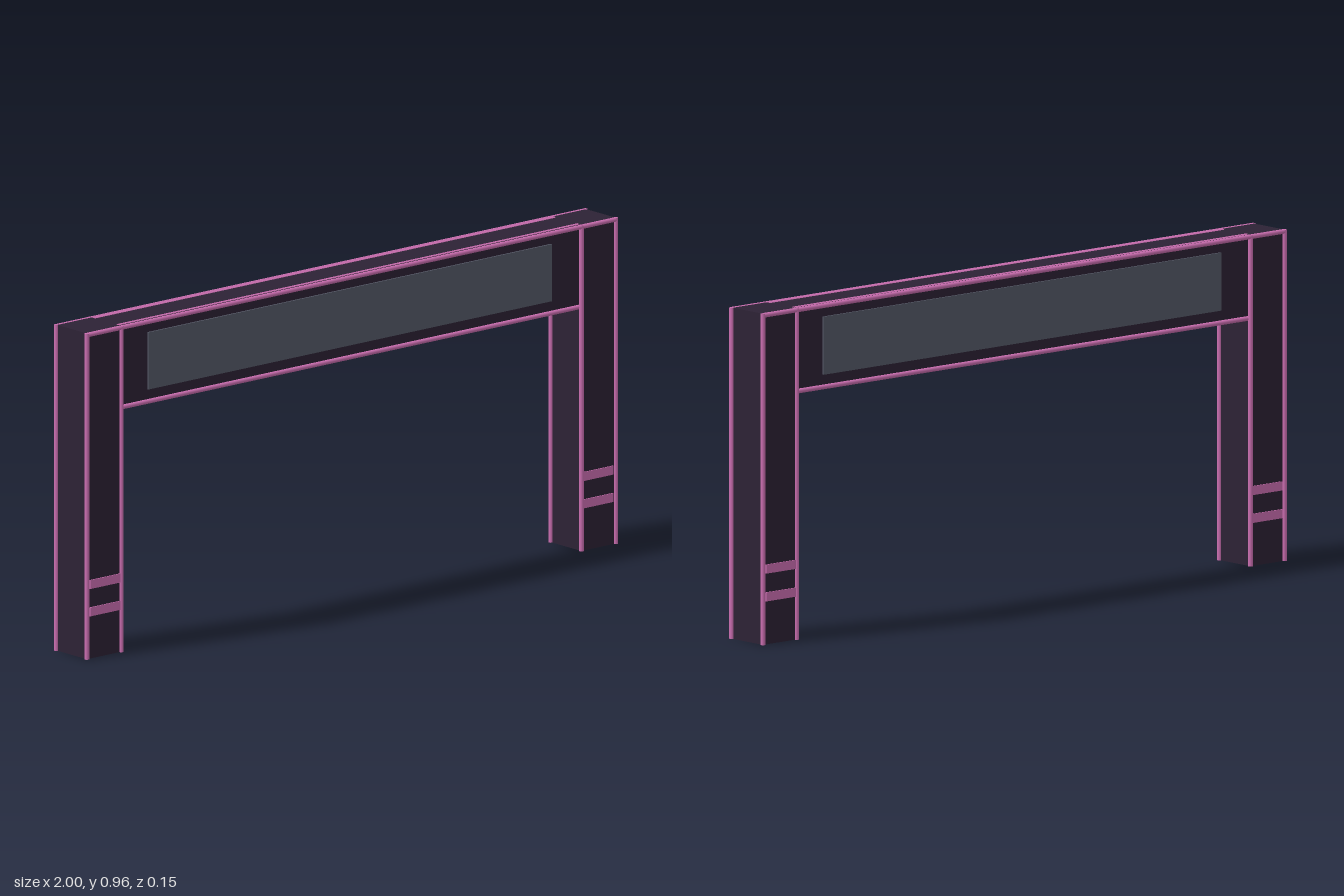
import * as THREE from 'three';

export function createModel() {
  const model = new THREE.Group();
  model.name = 'gateArch';

  const body = new THREE.MeshStandardMaterial({ color: 0x2d2235, side: THREE.DoubleSide });
  body.name = 'dark plum';
  const pink = new THREE.MeshStandardMaterial({ color: 0xcf70b4 });
  pink.name = 'pink trim';
  const glass = new THREE.MeshStandardMaterial({ color: 0x565a69 });
  glass.name = 'grey panel';

  const H = 0.953, INNER = 0.864, OUTER = 0.993, DEPTH = 0.066;
  const BEAM_BOTTOM = 0.712, BEAM_DEPTH = 0.057, R = 0.007;

  function add(name, geometry, material, x, y, z) {
    const mesh = new THREE.Mesh(geometry, material);
    mesh.name = name;
    mesh.position.set(x, y, z);
    model.add(mesh);
    return mesh;
  }
  const box = (name, mat, w, h, d, x, y, z) =>
    add(name, new THREE.BoxGeometry(w, h, d), mat, x, y, z);

  // thin round trim along an edge
  function rod(name, length, x, y, z, alongX) {
    const mesh = add(name, new THREE.CylinderGeometry(R, R, length, 8), pink, x, y, z);
    if (alongX) mesh.rotation.z = Math.PI / 2;
  }

  // box without its underside, for the hollow posts
  function openBox(w, h, d) {
    const g = new THREE.BoxGeometry(w, h, d);
    const index = Array.from(g.index.array);
    index.splice(18, 6);
    g.setIndex(index);
    g.clearGroups();
    return g;
  }

  // posts with corner trims and stripes
  for (const side of [-1, 1]) {
    const cx = side * (INNER + OUTER) / 2;
    add('post', openBox(OUTER - INNER, H, DEPTH * 2), body, cx, H / 2, 0);
    for (const face of [-1, 1]) {
      for (const x of [INNER, OUTER]) rod('postTrim', H, side * x, H / 2, face * DEPTH, false);
      for (const y of [0.137, 0.217])
        box('postStripe', pink, 0.115, 0.026, 0.004, side * 0.925, y, face * (DEPTH + 0.001));
    }
  }

  // crossbeam, slightly thinner than the posts
  box('crossbeam', body, INNER * 2, H - BEAM_BOTTOM, BEAM_DEPTH * 2, 0, (H + BEAM_BOTTOM) / 2, 0);

  // beam trims and display panels on both faces
  for (const face of [-1, 1]) {
    rod('topEdgeTrim', OUTER * 2, 0, H - 0.005, face * DEPTH, true);
    rod('beamTopTrim', INNER * 2, 0, H - 0.004, face * 0.051, true);
    rod('beamBottomTrim', INNER * 2, 0, BEAM_BOTTOM, face * BEAM_DEPTH, true);
    box('displayPanel', glass, 1.515, 0.167, 0.006, 0, 0.8315, face * (BEAM_DEPTH + 0.002));
  }

  return model;
}
